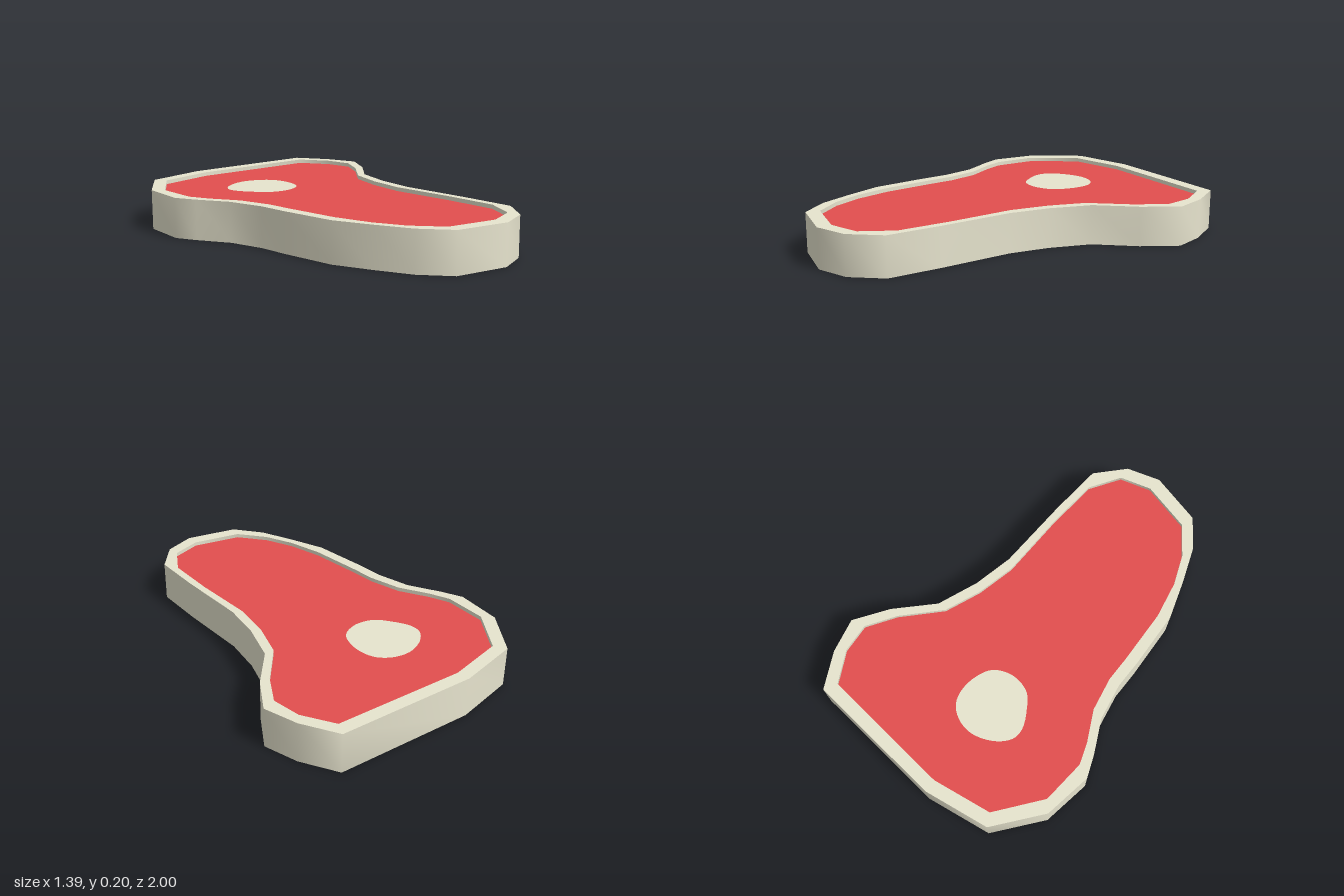
import * as THREE from 'three';
import { toCreasedNormals } from 'three/addons/utils/BufferGeometryUtils.js';

// Outlines as [x, z], clockwise seen from above
const RIM_OUTER = [
  [-0.12, -1], [0.583, -0.897], [0.665, -0.715], [0.697, -0.54], [0.575, -0.38], [0.4, -0.22],
  [0.31, -0.02], [0.255, 0.18], [0.22, 0.56], [0.185, 0.83], [0.05, 0.96], [-0.12, 1],
  [-0.38, 0.915], [-0.475, 0.765], [-0.53, 0.585], [-0.58, 0.39], [-0.577, 0.1], [-0.568, -0.05],
  [-0.59, -0.235], [-0.66, -0.4], [-0.697, -0.512], [-0.643, -0.752], [-0.45, -0.967],
];
const RIM_INNER = [
  [-0.12, -0.935], [0.545, -0.835], [0.62, -0.675], [0.625, -0.527], [0.525, -0.39], [0.35, -0.225],
  [0.27, -0.05], [0.215, 0.145], [0.19, 0.48], [0.155, 0.75], [0.05, 0.895], [-0.11, 0.93],
  [-0.355, 0.85], [-0.45, 0.705], [-0.5, 0.55], [-0.525, 0.36], [-0.52, 0.08], [-0.513, -0.05],
  [-0.535, -0.22], [-0.6, -0.37], [-0.632, -0.48], [-0.6, -0.7], [-0.42, -0.905],
];
const BONE = [
  [-0.12, -0.652], [-0.03, -0.628], [0.025, -0.575], [0.042, -0.505], [0.027, -0.415], [-0.02, -0.337],
  [-0.12, -0.303], [-0.22, -0.332], [-0.27, -0.4], [-0.31, -0.495], [-0.3, -0.56], [-0.23, -0.622],
];

const HEIGHT = 0.2;
const RECESS = 0.02;

const toPoints = (outline) => outline.map(([x, z]) => new THREE.Vector2(x, -z));

// Rounds a closed outline with a spline
function smoothPoints(outline) {
  const curve = new THREE.CatmullRomCurve3(outline.map(([x, z]) => new THREE.Vector3(x, -z, 0)), true);
  return curve.getPoints(48).slice(0, -1).map((p) => new THREE.Vector2(p.x, p.y));
}

// Upright slab between two heights, with an optional hole
function slab(name, points, hole, bottom, top, material) {
  const shape = new THREE.Shape(points);
  // A hole runs against the outline so that its walls face inwards
  if (hole) shape.holes.push(new THREE.Path([...hole].reverse()));
  let geometry = new THREE.ExtrudeGeometry(shape, { depth: top - bottom, bevelEnabled: false });
  geometry.rotateX(-Math.PI / 2);
  geometry.translate(0, bottom, 0);
  // Smooth around the side, sharp at the top and bottom edges
  geometry = toCreasedNormals(geometry, 1.2);
  const mesh = new THREE.Mesh(geometry, material);
  mesh.name = name;
  return mesh;
}

export function createModel() {
  const fat = new THREE.MeshStandardMaterial({ color: 0xe7e4ce });
  fat.name = 'fat and bone';
  const meat = new THREE.MeshStandardMaterial({ color: 0xe24e4e });
  meat.name = 'red meat';

  const inner = toPoints(RIM_INNER);
  const bone = smoothPoints(BONE);
  const low = RECESS, high = HEIGHT - RECESS;

  const group = new THREE.Group();
  group.name = 'steak';
  group.add(
    slab('fatRim', toPoints(RIM_OUTER), inner, 0, HEIGHT, fat),
    // Meat and bone sit level, sunk below the rim on both sides
    slab('meat', inner, bone, low, high, meat),
    slab('bone', bone, null, low, high, fat),
  );
  return group;
}
